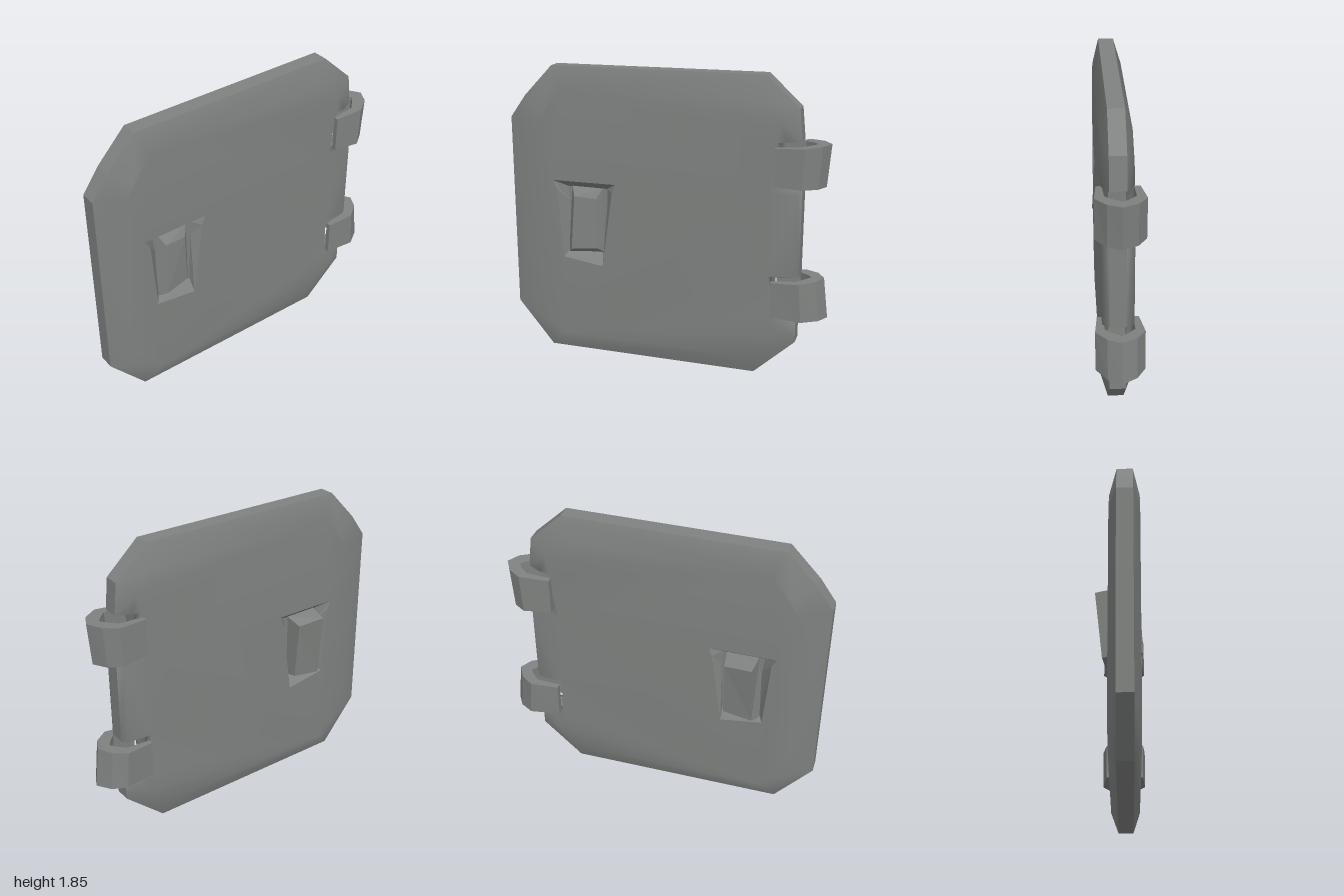
import * as THREE from 'three';

const steel = new THREE.MeshStandardMaterial({ color: 0x7f8280, side: THREE.DoubleSide });
steel.name = 'grey steel';

// Door outline and the matching inset of its flat faces, as [z, y]
const rim = [
  [1, 0.29], [0.77, 0.01], [-0.57, 0], [-0.82, 0.23], [-0.82, 0.38], [-0.68, 0.4],
  [-0.67, 0.63], [-0.83, 0.65], [-0.83, 1.19], [-0.69, 1.2], [-0.7, 1.46], [-0.82, 1.47],
  [-0.8, 1.66], [-0.6, 1.845], [0.72, 1.84], [0.9, 1.65], [1, 1.51],
];
const inset = [
  [0.84, 0.36], [0.67, 0.12], [-0.5, 0.11], [-0.72, 0.28], [-0.76, 0.36], [-0.66, 0.39],
  [-0.65, 0.65], [-0.81, 0.66], [-0.81, 1.16], [-0.64, 1.16], [-0.68, 1.465], [-0.74, 1.47],
  [-0.7, 1.58], [-0.53, 1.7], [0.65, 1.7], [0.77, 1.56], [0.82, 1.46],
];
// Hand recess
const mouth = [[0.66, 0.64], [0.4, 0.6], [0.33, 1.08], [0.31, 1.135], [0.72, 1.135], [0.69, 1.08]];
const pocket = [[0.62, 0.69], [0.4, 0.67], [0.38, 1.0], [0.38, 1.09], [0.64, 1.09], [0.63, 1.0]];

const at = (loop, x) => loop.map(([z, y]) => [x, y, z]);

// Triangles joining consecutive loops; loops run anticlockwise seen from -x
function strips(index, n, rows, start = 0) {
  for (let r = 0; r < rows - 1; r++) {
    for (let i = 0; i < n; i++) {
      const j = (i + 1) % n;
      const a = start + r * n + i, b = start + r * n + j;
      index.push(a, b, b + n, a, b + n, a + n);
    }
  }
}

function makeMesh(name, points, index, flip, flat) {
  if (flip) index = index.slice().reverse();
  let g = new THREE.BufferGeometry();
  g.setAttribute('position', new THREE.Float32BufferAttribute(points.flat(), 3));
  g.setIndex(index);
  if (flat) g = g.toNonIndexed();
  g.computeVertexNormals();
  const m = new THREE.Mesh(g, steel);
  m.name = name;
  return m;
}

// Faceted loft with an optional cap on its last loop
function loft(name, loops, flip = false, cap = true) {
  const n = loops[0].length, index = [];
  strips(index, n, loops.length);
  const s = (loops.length - 1) * n;
  if (cap) for (let i = 1; i < n - 1; i++) index.push(s, s + i, s + i + 1);
  return makeMesh(name, loops.flat(), index, flip, true);
}

// Smooth bevelled door face with the recess cut out
function doorFace(name, xRim, xFace, flip) {
  const n = rim.length, index = [];
  strips(index, n, 2);
  const flat = (loop) => loop.map(([z, y]) => new THREE.Vector2(-z, y));
  for (const t of THREE.ShapeUtils.triangulateShape(flat(inset), [flat(mouth)])) {
    index.push(...t.map((i) => i + n));
  }
  return makeMesh(name, [...at(rim, xRim), ...at(inset, xFace), ...at(mouth, xFace)], index, flip, false);
}

// Hinge bracket wrapped round the rear edge; lean shifts its back with height
function hinge(name, y, height, leanBottom, leanTop) {
  const outer = [[-0.11, -0.67], [-0.135, -0.85], [-0.085, -0.93], [0, -0.98], [0.08, -0.94], [0.145, -0.85], [0.13, -0.67]];
  const inner = [[0.1, -0.67], [0.09, -0.82], [0.04, -0.87], [0, -0.9], [-0.04, -0.87], [-0.08, -0.82], [-0.075, -0.67]];
  const shape = new THREE.Shape([...outer, ...inner].map(([x, z]) => new THREE.Vector2(x, -z)));
  const g = new THREE.ExtrudeGeometry(shape, { depth: height, bevelEnabled: false });
  g.rotateX(-Math.PI / 2);
  const p = g.attributes.position;
  for (let i = 0; i < p.count; i++) {
    const t = p.getY(i) / height;
    const back = (-0.67 - p.getZ(i)) / 0.31;
    p.setZ(i, p.getZ(i) - back * (leanBottom + (leanTop - leanBottom) * t));
    p.setY(i, y + p.getY(i) + (t > 0.5 ? 0.02 * back : -0.01 * back));
  }
  g.computeVertexNormals();
  const m = new THREE.Mesh(g, steel);
  m.name = name;
  return m;
}

export function createModel() {
  const model = new THREE.Group();
  model.name = 'hatch door';

  // Door slab
  model.add(
    doorFace('right door face', -0.03, -0.075, false),
    doorFace('left door face', 0.065, 0.105, true),
    loft('door rim', [at(rim, 0.065), at(rim, -0.03)], false, false),
  );

  // Recesses on both faces
  model.add(
    loft('right recess', [at(mouth, -0.075), at(pocket, -0.02)]),
    loft('left recess', [at(mouth, 0.105), at(pocket, 0.05)], true),
  );

  // Handles: the right one stands proud, the left one is nearly flush
  const grip = [[0.65, 0.65], [0.41, 0.68], [0.41, 1.09], [0.61, 1.1]];
  model.add(
    loft('right handle', [
      at(grip, -0.02),
      [[-0.11, 0.67, 0.6], [-0.095, 0.69, 0.42], [-0.125, 1.06, 0.42], [-0.153, 1.08, 0.59]],
    ]),
    loft('left handle', [
      at(grip, 0.05),
      [[0.118, 0.7, 0.6], [0.09, 0.71, 0.44], [0.085, 1.03, 0.44], [0.1, 1.04, 0.58]],
    ], true),
  );

  // Hinges
  model.add(
    hinge('upper hinge', 1.21, 0.225, -0.02, 0),
    hinge('lower hinge', 0.4, 0.22, 0.02, -0.01),
  );
  return model;
}
